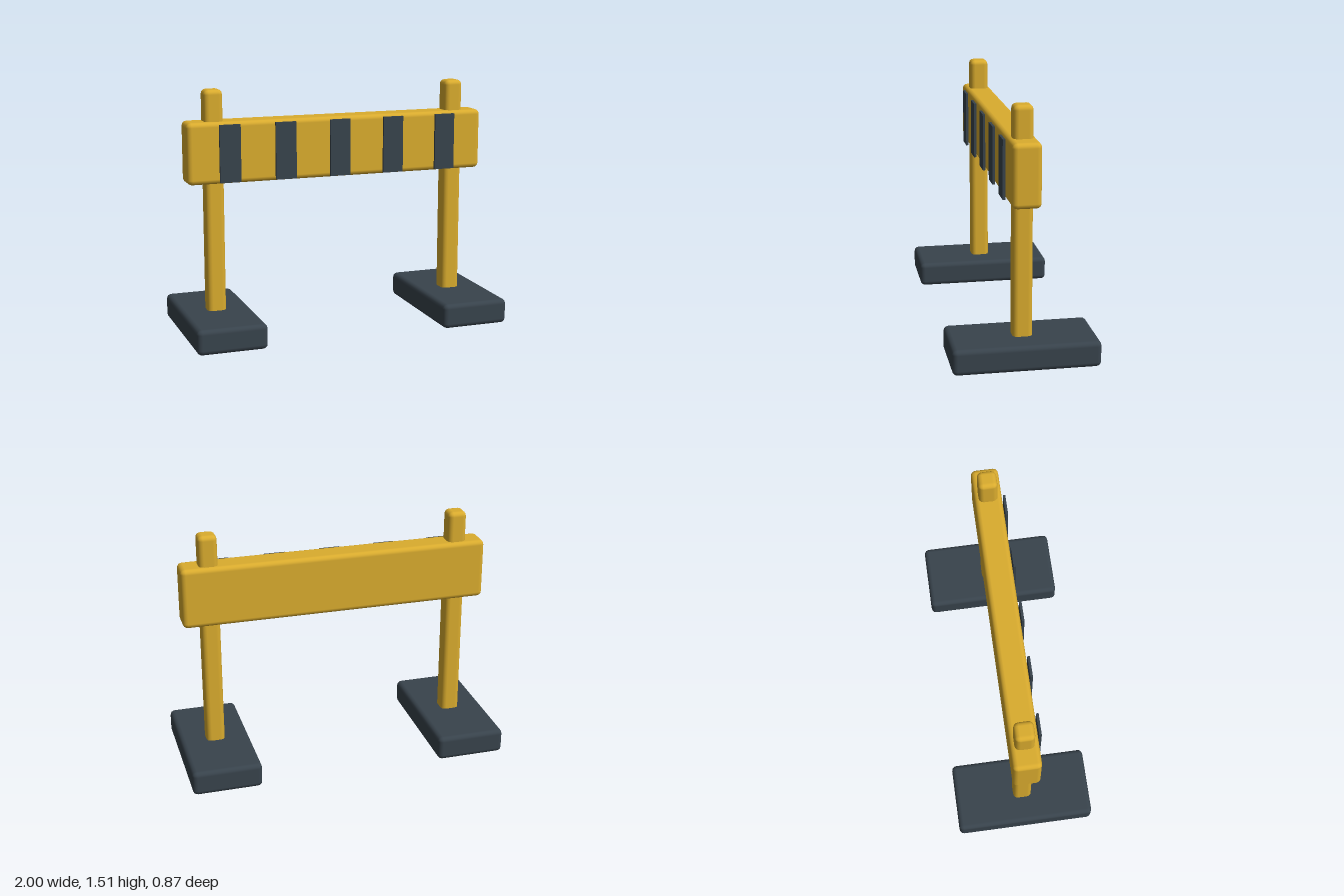
import * as THREE from 'three';
import { RoundedBoxGeometry } from 'three/addons/geometries/RoundedBoxGeometry.js';

export function createModel() {
  const group = new THREE.Group();
  const yellow = new THREE.MeshStandardMaterial({ color: 0xdaac2e });
  const slate = new THREE.MeshStandardMaterial({ color: 0x38434c });

  function add(name, geometry, material, x, y, z) {
    const mesh = new THREE.Mesh(geometry, material);
    mesh.name = name;
    mesh.position.set(x, y, z);
    group.add(mesh);
  }

  // Feet and upright posts, mirrored
  const foot = new RoundedBoxGeometry(0.43, 0.155, 0.865, 2, 0.03);
  const post = new RoundedBoxGeometry(0.116, 1.4, 0.116, 2, 0.03);
  for (const side of [-1, 1]) {
    const label = side > 0 ? 'left' : 'right';
    add(label + 'Foot', foot, slate, side * 0.785, 0.0775, 0);
    add(label + 'Post', post, yellow, side * 0.782, 0.812, 0);
  }

  // Crossboard
  add('board', new RoundedBoxGeometry(1.91, 0.376, 0.168, 2, 0.03), yellow, 0, 1.134, 0);

  // Dark stripes standing just clear of the front of the board
  const stripe = new THREE.BoxGeometry(0.13, 0.35, 0.015);
  for (let i = -2; i <= 2; i++) {
    add('stripe' + (i + 3), stripe, slate, i * 0.349, 1.132, 0.099);
  }

  return group;
}
